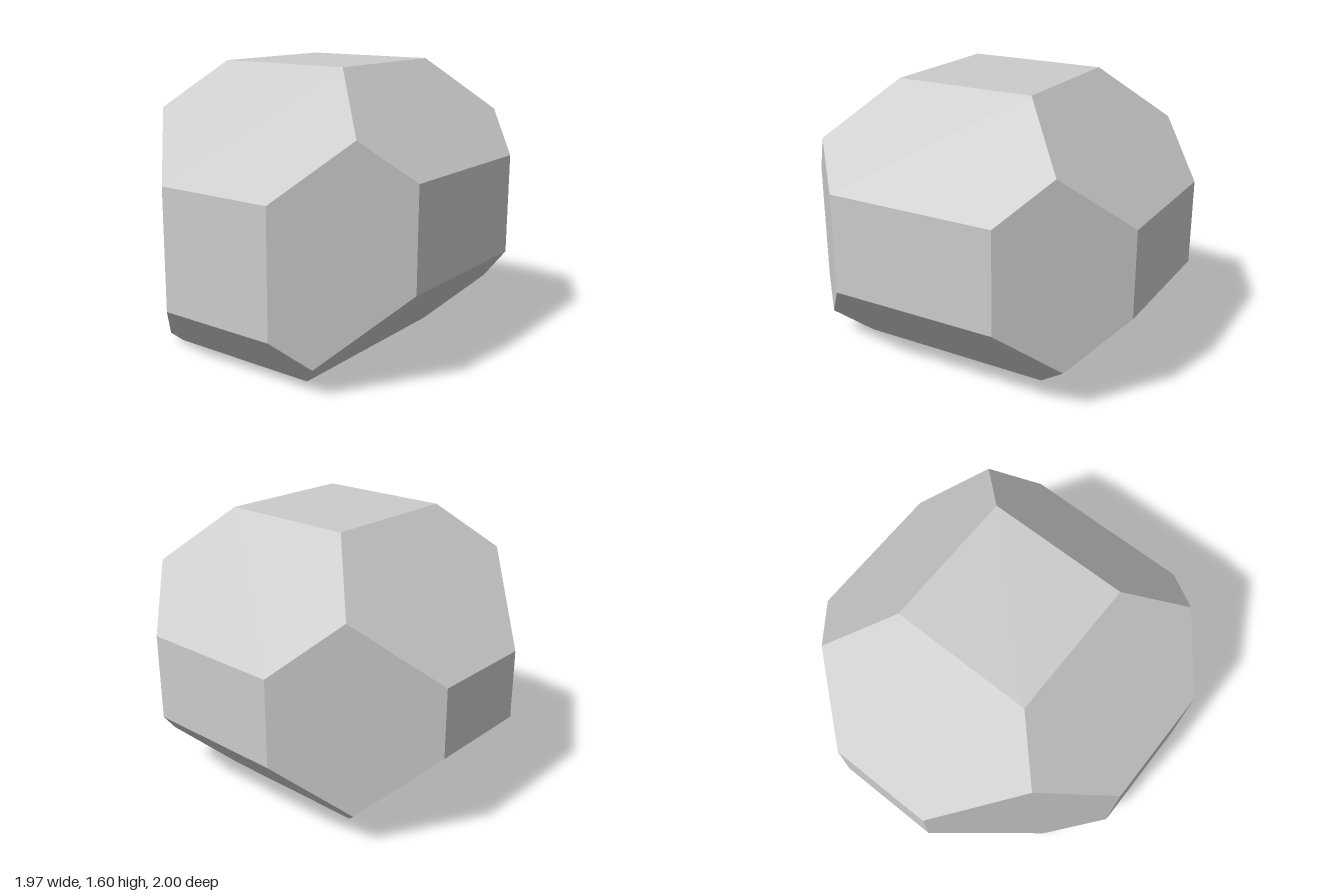
import * as THREE from 'three';

// Facet planes: outward direction (x, y, z) and offset, so that x*px + y*py + z*pz = offset
const FACETS = [
  // six axis-aligned faces
  [1, 0, 0, 0.987], [-1, 0, 0, 0.988],
  [0, 1, 0, 1.597], [0, -1, 0, 0],
  [0, 0, 1, 1], [0, 0, -1, 1],
  // bevels between top/bottom and the sides
  [1, 1, 0, 2.067], [-1, 1, 0, 1.92], [1, -1, 0, 0.465], [-1, -1, 0, 0.448],
  // bevels between top/bottom and front/back
  [0, 1, 1, 1.995], [0, 1, -1, 2.004], [0, -1, 1, 0.686], [0, -1, -1, 0.481],
  // upright bevels
  [1, 0, 1, 1.472], [-1, 0, 1, 1.232], [1, 0, -1, 1.469], [-1, 0, -1, 1.361],
];

// Point shared by three planes, or null if they do not meet in one point
function meet(a, b, c) {
  const m = new THREE.Matrix3().set(
    a.n.x, a.n.y, a.n.z, b.n.x, b.n.y, b.n.z, c.n.x, c.n.y, c.n.z);
  if (Math.abs(m.determinant()) < 1e-6) return null;
  return new THREE.Vector3(a.d, b.d, c.d).applyMatrix3(m.invert());
}

// Convex solid bounded by the planes, one flat polygon per plane
function solidFromPlanes(planes) {
  const corners = [];
  for (let i = 0; i < planes.length; i++)
    for (let j = i + 1; j < planes.length; j++)
      for (let k = j + 1; k < planes.length; k++) {
        const p = meet(planes[i], planes[j], planes[k]);
        if (p && planes.every(q => q.n.dot(p) < q.d + 1e-5)
          && !corners.some(c => c.distanceTo(p) < 1e-4)) corners.push(p);
      }

  const points = [], normals = [];
  for (const { n, d } of planes) {
    const ring = corners.filter(p => Math.abs(n.dot(p) - d) < 1e-4);
    if (ring.length < 3) continue;
    const centre = ring.reduce((s, p) => s.add(p), new THREE.Vector3()).divideScalar(ring.length);
    const unit = n.clone().normalize();
    const u = ring[0].clone().sub(centre).normalize();
    const v = unit.clone().cross(u);
    const angle = p => {
      const r = p.clone().sub(centre);
      return Math.atan2(r.dot(v), r.dot(u));
    };
    // counter-clockwise as seen from outside
    ring.sort((p, q) => angle(p) - angle(q));
    for (let i = 1; i < ring.length - 1; i++)
      for (const p of [ring[0], ring[i], ring[i + 1]]) {
        points.push(...p.toArray());
        normals.push(...unit.toArray());
      }
  }
  const geometry = new THREE.BufferGeometry();
  geometry.setAttribute('position', new THREE.Float32BufferAttribute(points, 3));
  geometry.setAttribute('normal', new THREE.Float32BufferAttribute(normals, 3));
  return geometry;
}

export function createModel() {
  const group = new THREE.Group();
  group.name = 'facetedStone';

  const planes = FACETS.map(([x, y, z, d]) => ({ n: new THREE.Vector3(x, y, z), d }));
  const stone = new THREE.Mesh(
    solidFromPlanes(planes),
    new THREE.MeshStandardMaterial({ color: 0xcccccc, flatShading: true }));
  stone.name = 'stoneBody';
  group.add(stone);
  return group;
}
